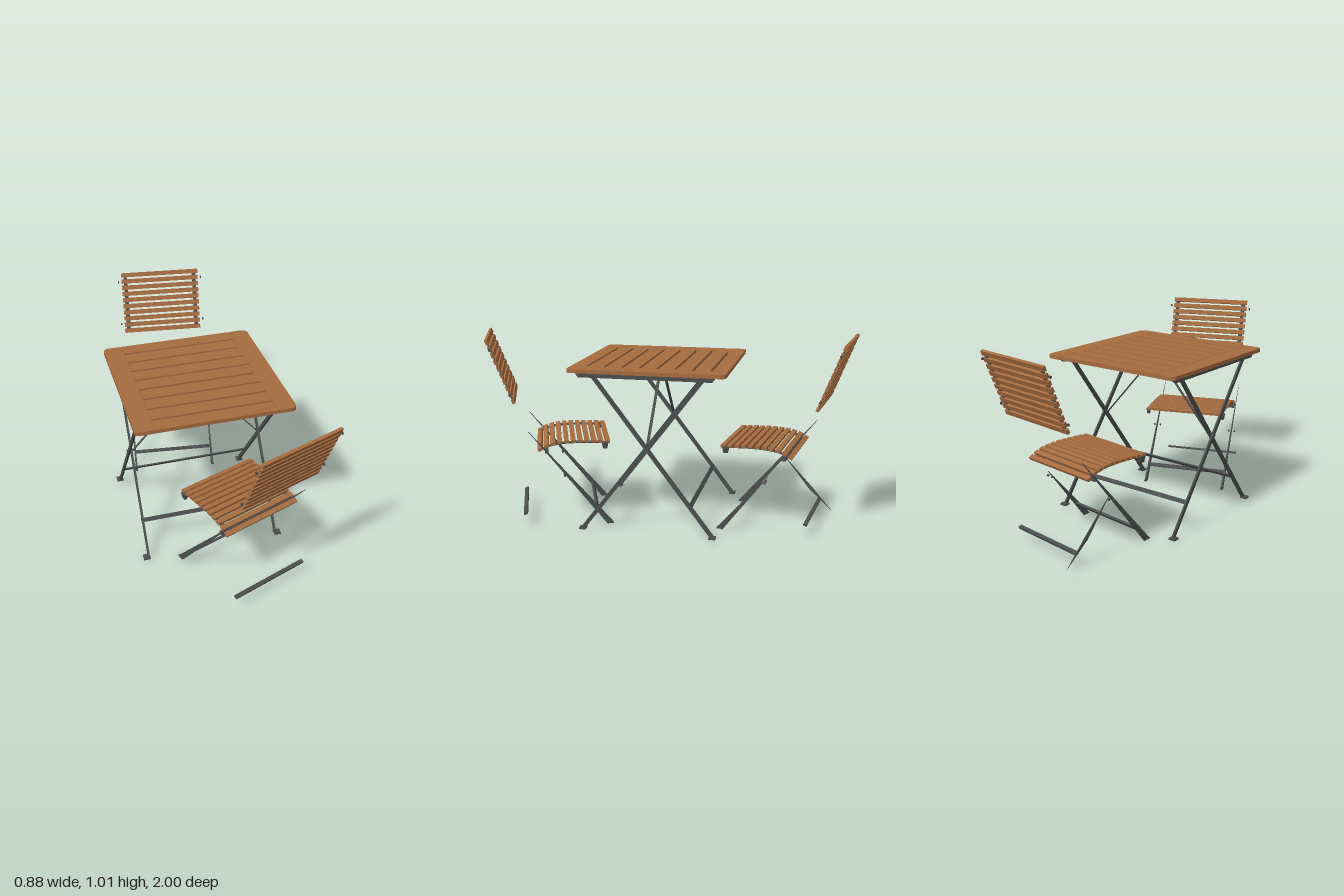
import * as THREE from 'three';

const wood = new THREE.MeshStandardMaterial({ color: 0xa66c40 });
wood.name = 'oiledWood';
const metal = new THREE.MeshStandardMaterial({ color: 0x4c4d4e });
metal.name = 'greyMetal';

const V = (x, y, z) => new THREE.Vector3(x, y, z);

function add(parent, name, geometry, material, x = 0, y = 0, z = 0) {
  const mesh = new THREE.Mesh(geometry, material);
  mesh.name = name;
  mesh.position.set(x, y, z);
  parent.add(mesh);
  return mesh;
}

const box = (parent, name, material, w, h, d, x, y, z) =>
  add(parent, name, new THREE.BoxGeometry(w, h, d), material, x, y, z);

// Flat bar from p to q; its top end can taper
function bar(parent, name, p, q, w, d, taper = 1) {
  const dir = q.clone().sub(p);
  const geo = new THREE.BoxGeometry(w, dir.length(), d);
  const pos = geo.attributes.position;
  for (let i = 0; i < pos.count; i++) {
    if (pos.getY(i) > 0) pos.setXYZ(i, pos.getX(i) * taper, pos.getY(i), pos.getZ(i) * taper);
  }
  geo.computeVertexNormals();
  const mid = p.clone().add(q).multiplyScalar(0.5);
  const mesh = add(parent, name, geo, metal, mid.x, mid.y, mid.z);
  mesh.quaternion.setFromUnitVectors(V(0, 1, 0), dir.normalize());
  return mesh;
}

// Round bolt head lying along x
function bolt(parent, x, y, z, r = 0.007) {
  const geo = new THREE.CylinderGeometry(r, r, 0.007, 10).rotateZ(Math.PI / 2);
  add(parent, 'bolt', geo, metal, x, y, z);
}

function createTable() {
  const table = new THREE.Group();
  table.name = 'table';
  table.position.set(-0.03, 0, 0.025);
  const half = 0.405, inner = 0.306, r = 0.03, topY = 0.842, thick = 0.02;

  // End boards with rounded outer corners
  for (const s of [-1, 1]) {
    const shape = new THREE.Shape();
    shape.moveTo(s * inner, -half);
    shape.lineTo(s * (half - r), -half);
    shape.quadraticCurveTo(s * half, -half, s * half, -half + r);
    shape.lineTo(s * half, half - r);
    shape.quadraticCurveTo(s * half, half, s * (half - r), half);
    shape.lineTo(s * inner, half);
    const geo = new THREE.ExtrudeGeometry(shape, { depth: thick, bevelEnabled: false, curveSegments: 6 });
    geo.rotateX(-Math.PI / 2);
    add(table, 'endBoard', geo, wood, 0, topY, 0);
  }

  // Top slats
  const pitch = 0.0914;
  for (let i = 0; i < 9; i++) {
    box(table, 'topSlat', wood, inner * 2 - 0.004, thick, 0.078, 0, topY + thick / 2, (i - 4) * pitch);
  }

  // Centre rail under the slats
  box(table, 'centreRail', metal, 0.028, 0.012, 0.53, 0, 0.836, 0);

  for (const s of [-1, 1]) {
    // Side rail with sloped ends
    const shape = new THREE.Shape([
      new THREE.Vector2(-0.355, 0.842), new THREE.Vector2(-0.335, 0.816),
      new THREE.Vector2(0.35, 0.816), new THREE.Vector2(0.37, 0.842)]);
    const rail = new THREE.ExtrudeGeometry(shape, { depth: 0.026, bevelEnabled: false });
    rail.rotateY(-Math.PI / 2);
    add(table, 'sideRail', rail, metal, s * 0.362 + 0.013, 0, 0);

    // Crossed legs and feet
    const xa = s * 0.366, xb = s * 0.354;
    bar(table, 'leg', V(xa, 0.008, -0.345), V(xa, 0.825, 0.277), 0.01, 0.021);
    bar(table, 'leg', V(xb, 0.008, 0.345), V(xb, 0.825, -0.277), 0.01, 0.021);
    box(table, 'foot', metal, 0.036, 0.01, 0.035, s * 0.37, 0.009, -0.345);
    box(table, 'foot', metal, 0.036, 0.01, 0.035, s * 0.365, 0.009, 0.345);

    // Pivot bolts and diagonal brace
    bolt(table, s * 0.375, 0.465, 0);
    bolt(table, s * 0.343, 0.465, 0);
    bolt(table, s * 0.376, 0.825, 0.277);
    bolt(table, s * 0.344, 0.825, -0.277);
    bar(table, 'brace', V(s * 0.343, 0.465, 0), V(s * 0.004, 0.842, 0), 0.003, 0.015);

    // Stretcher between each pair of legs
    const stretcher = box(table, 'stretcher', metal, 0.725, 0.022, 0.008, 0, 0.165, s * 0.228);
    stretcher.rotation.x = -s * 0.65;
  }
  return table;
}

// Chair in its own frame: the back points to +z
function createChair(legTops, rearLeg) {
  const chair = new THREE.Group();
  chair.name = 'chair';

  // Seat slats along a curve that drops at the back
  const curve = new THREE.CatmullRomCurve3([
    V(0, 0.449, 0.005), V(0, 0.454, 0.08), V(0, 0.457, 0.18),
    V(0, 0.451, 0.27), V(0, 0.437, 0.325), V(0, 0.419, 0.358)]);
  for (let i = 0; i < 11; i++) {
    const p = curve.getPointAt(i / 10), t = curve.getTangentAt(i / 10);
    const slat = box(chair, 'seatSlat', wood, 0.44, 0.015, 0.025, 0, p.y, p.z);
    slat.rotation.x = Math.atan2(-t.y, t.z);
  }

  // Curved strips that carry the seat
  const pts = curve.getSpacedPoints(16);
  const outline = [
    ...pts.map(p => new THREE.Vector2(p.z, p.y - 0.012)),
    ...pts.reverse().map(p => new THREE.Vector2(p.z, p.y - 0.004))];
  const stripGeo = new THREE.ExtrudeGeometry(new THREE.Shape(outline), { depth: 0.02, bevelEnabled: false });
  stripGeo.rotateY(-Math.PI / 2);

  // Backrest
  const back = new THREE.Group();
  back.name = 'backrest';
  back.position.set(0, 0.835, 0.546);
  back.rotation.x = 0.37;
  chair.add(back);
  for (let i = 0; i < 10; i++) {
    box(back, 'backSlat', wood, 0.456, 0.024, 0.015, 0, (i - 4.5) * 0.0366, 0);
  }

  for (const s of [-1, 1]) {
    add(chair, 'seatStrip', stripGeo, metal, s * 0.2 + 0.01, 0, 0);
    box(back, 'backUpright', metal, 0.022, 0.335, 0.005, s * 0.205, 0, 0);
    bolt(back, s * 0.246, 0.127, 0);
    bolt(back, s * 0.246, -0.123, 0);

    // Seat bracket and pivot bolts
    bar(chair, 'seatBracket', V(s * 0.22, 0.415, 0.02), V(s * 0.22, 0.447, 0.02), 0.012, 0.022, 1.6);
    bolt(chair, s * 0.213, 0.28, 0.235, 0.006);
    bolt(chair, s * 0.247, 0.28, 0.235, 0.006);

    // Front leg thinning to a point, with a small foot
    const top = legTops[s < 0 ? 0 : 1];
    bar(chair, 'frontLeg', V(s * 0.23, 0.004, 0.0), V(s * 0.23, top, top * 0.8), 0.011, 0.03, 0.08);
    box(chair, 'legFoot', metal, 0.014, 0.008, 0.034, s * 0.23, 0.004, -0.002);
  }

  // Cross bars
  box(chair, 'legStretcher', metal, 0.45, 0.02, 0.012, 0, 0.08, 0.065).rotation.x = 0.6;
  box(chair, 'seatCrossBar', metal, 0.45, 0.016, 0.02, 0, 0.408, 0.325);
  box(chair, 'rearStretcher', metal, 0.436, 0.012, 0.02, 0, 0.07, 0.446).rotation.x = 0.3;

  // Slender rear leg, pointed at both ends
  if (rearLeg) {
    const middle = V(0.22, 0.13, 0.39);
    bar(chair, 'rearLeg', middle, V(0.217, 0.31, 0.23), 0.008, 0.018, 0.05);
    bar(chair, 'rearLeg', middle, V(0.22, 0.008, 0.515), 0.008, 0.018, 0.05);
  }
  return chair;
}

export function createModel() {
  const model = new THREE.Group();
  model.name = 'gardenTableAndChairs';
  model.add(createTable());

  const frontChair = createChair([0.52, 0.52], false);
  frontChair.name = 'frontChair';
  frontChair.position.set(0, 0, 0.335);
  frontChair.rotation.y = 0.354;

  const rearChair = createChair([0.31, 0.52], true);
  rearChair.name = 'rearChair';
  rearChair.position.set(-0.055, 0, -0.365);
  rearChair.rotation.y = Math.PI - 0.127;

  model.add(frontChair, rearChair);
  return model;
}
